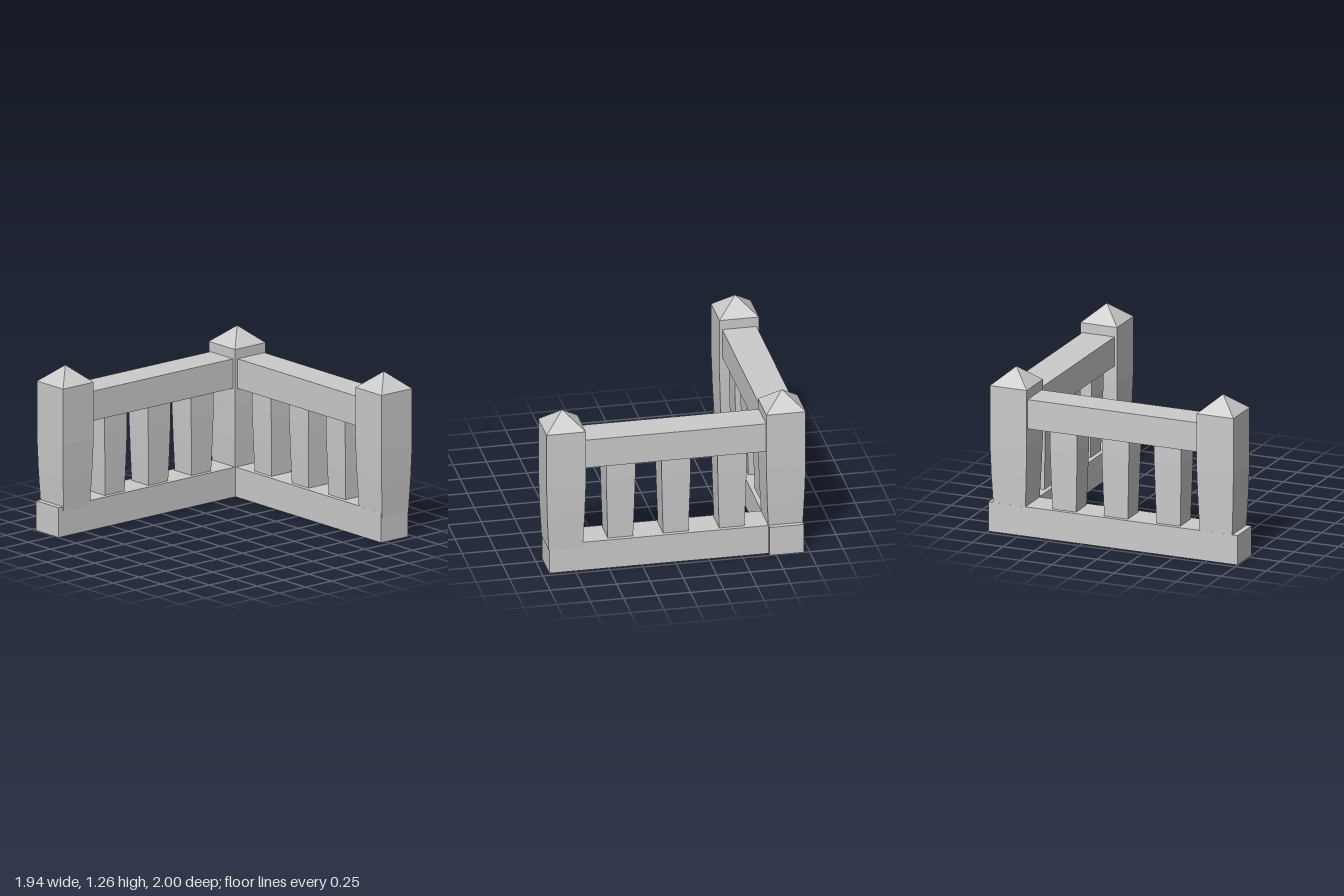
import * as THREE from 'three';

const material = new THREE.MeshStandardMaterial({ color: 0xcccccc, flatShading: true });

// Square-section solid from [width, height] pairs, bottom to top
function squareTurned(name, profile, x, z) {
  const points = profile.map(([w, y]) => new THREE.Vector2(w * Math.SQRT1_2, y));
  const mesh = new THREE.Mesh(new THREE.LatheGeometry(points, 4, Math.PI / 4), material);
  mesh.name = name;
  mesh.position.set(x, 0, z);
  return mesh;
}

// Box given by its minimum and maximum corners
function beam(name, [x0, y0, z0], [x1, y1, z1]) {
  const mesh = new THREE.Mesh(new THREE.BoxGeometry(x1 - x0, y1 - y0, z1 - z0), material);
  mesh.name = name;
  mesh.position.set((x0 + x1) / 2, (y0 + y1) / 2, (z0 + z1) / 2);
  return mesh;
}

export function createModel() {
  const model = new THREE.Group();
  model.name = 'cornerBalustrade';

  // Bottom rails, meeting at the back right corner
  model.add(
    beam('sideBaseRail', [-0.957, 0, -1], [-0.7, 0.227, 1]),
    beam('backBaseRail', [-0.7, 0, -0.965], [0.945, 0.227, -0.707]),
  );

  // Top rails, running between the posts
  model.add(
    beam('sideTopRail', [-0.957, 0.83, -0.8], [-0.7, 1.055, 0.8]),
    beam('backTopRail', [-0.8, 0.83, -0.968], [0.8, 1.055, -0.71]),
  );

  // Posts: tapered foot, straight shaft and pyramid cap
  const post = [[0, 0.19], [0.256, 0.19], [0.28, 0.45], [0.295, 0.7], [0.295, 1.13], [0, 1.257]];
  model.add(
    squareTurned('cornerPost', post, -0.827, -0.832),
    squareTurned('frontPost', post, -0.827, 0.827),
    squareTurned('leftPost', post, 0.822, -0.837),
  );

  // Three tapered balusters under each top rail
  const baluster = [[0, 0.2], [0.188, 0.2], [0.204, 0.45], [0.217, 0.7], [0.217, 0.86], [0, 0.86]];
  for (const t of [-0.43, -0.01, 0.405]) {
    model.add(squareTurned('backBaluster', baluster, t, -0.837));
    model.add(squareTurned('sideBaluster', baluster, -0.828, -t));
  }
  return model;
}
